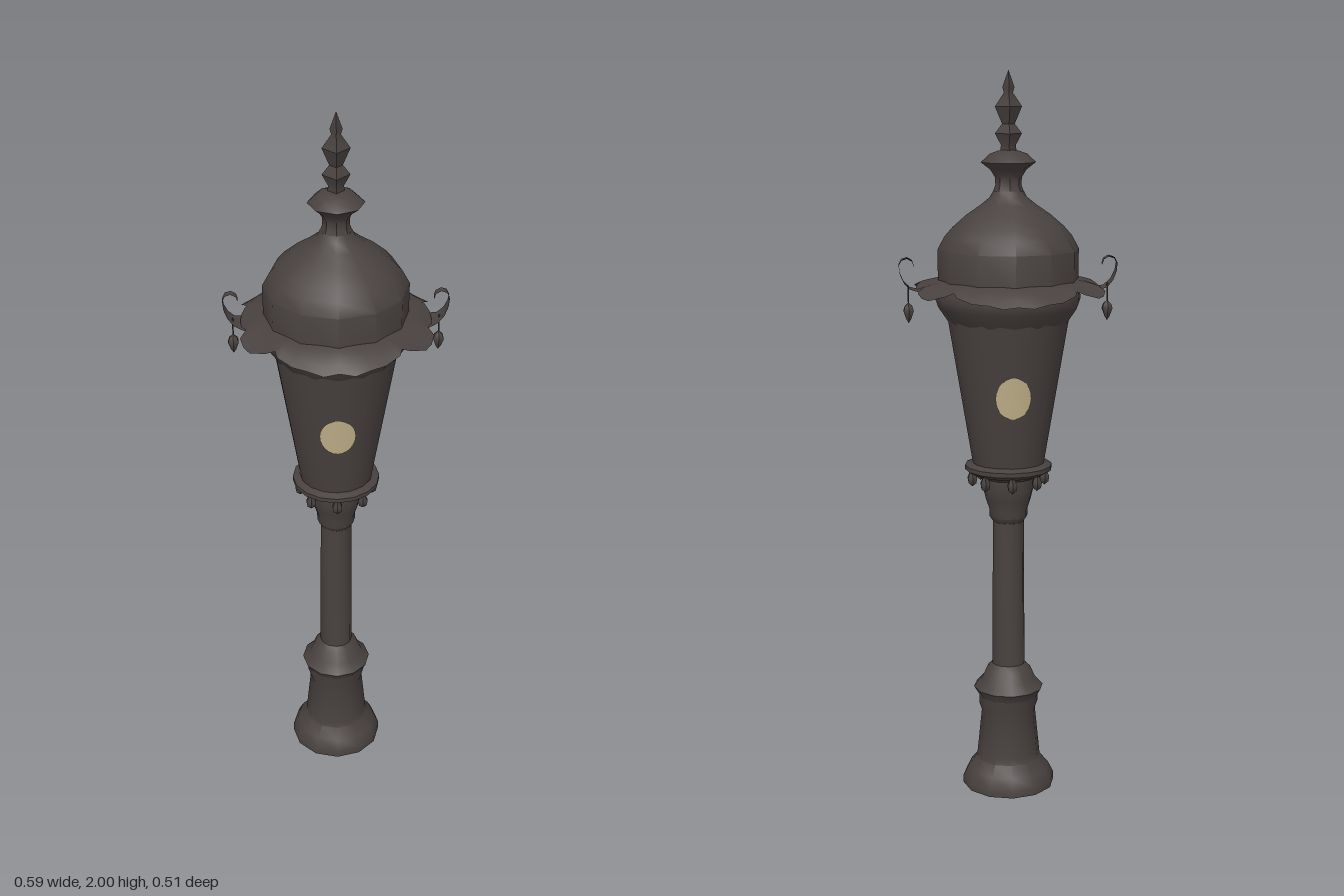
import * as THREE from 'three';
import { toCreasedNormals } from 'three/addons/utils/BufferGeometryUtils.js';

export function createModel() {
  const root = new THREE.Group();
  const iron = new THREE.MeshStandardMaterial({ color: 0x48413f });
  iron.name = 'dark iron';
  const ironLeaf = new THREE.MeshStandardMaterial({ color: 0x48413f, side: THREE.DoubleSide });
  ironLeaf.name = 'dark iron sheet';
  const glow = new THREE.MeshStandardMaterial({ color: 0xc4b48c });
  glow.name = 'pale glass';

  const add = (name, geometry, material = iron, parent = root) => {
    const mesh = new THREE.Mesh(geometry, material);
    mesh.name = name;
    parent.add(mesh);
    return mesh;
  };
  // Turned part from [radius, height] pairs, listed bottom to top
  const turned = (profile, sides) => toCreasedNormals(
    new THREE.LatheGeometry(profile.map(([r, y]) => new THREE.Vector2(r, y)), sides), 0.7);

  // Post
  add('base', turned([[0, 0], [0.13, 0], [0.13, 0.02], [0.115, 0.05], [0.09, 0.08], [0.088, 0.1],
    [0.076, 0.22], [0.083, 0.24], [0.083, 0.265], [0.098, 0.29], [0.075, 0.315], [0.062, 0.345],
    [0.046, 0.36]], 12));
  add('pole', turned([[0.046, 0.35], [0.043, 0.79]], 12));
  add('capital', turned([[0.043, 0.775], [0.053, 0.79], [0.053, 0.81], [0.063, 0.84], [0.07, 0.87],
    [0.07, 0.9], [0.09, 0.915]], 12));
  add('lanternPlate', turned([[0, 0.913], [0.1, 0.913], [0.12, 0.925], [0.12, 0.937], [0.1, 0.945]], 16));

  // Small knobs hanging under the plate
  for (let i = 0; i < 8; i++) {
    const a = i * Math.PI / 4;
    const knob = add('plateKnob', turned([[0, -0.025], [0.012, -0.015], [0.015, 0], [0.008, 0.015], [0.008, 0.03]], 6));
    knob.position.set(0.1 * Math.cos(a), 0.9, 0.1 * Math.sin(a));
  }

  // Lantern body and roof
  add('lanternBody', turned([[0.098, 0.94], [0.165, 1.345]], 24));
  add('lanternRim', turned([[0.163, 1.335], [0.19, 1.375], [0.197, 1.395], [0.195, 1.415], [0.18, 1.45]], 16));
  add('dome', turned([[0.19, 1.42], [0.191, 1.53], [0.172, 1.565], [0.15, 1.59], [0.113, 1.622],
    [0.075, 1.648], [0.05, 1.668], [0.041, 1.685]], 12));
  add('neck', turned([[0.042, 1.68], [0.035, 1.7], [0.036, 1.72], [0.048, 1.74], [0.074, 1.76],
    [0.05, 1.782], [0.028, 1.79], [0, 1.795]], 8));
  add('finial', turned([[0.022, 1.785], [0.02, 1.805], [0.036, 1.835], [0.017, 1.86], [0.036, 1.905],
    [0.012, 1.94], [0.016, 1.955], [0, 2]], 4));

  // Scalloped brim: [angle in degrees from the side, outer radius, outer height] over one quarter
  const edge = [[0, 0.25, 1.425], [8, 0.25, 1.428], [16, 0.244, 1.437], [20, 0.266, 1.425], [27, 0.27, 1.415],
    [33, 0.268, 1.412], [43, 0.252, 1.425], [48, 0.24, 1.435], [51.5, 0.249, 1.425], [62, 0.251, 1.412],
    [71.5, 0.253, 1.41], [81, 0.258, 1.402], [90, 0.246, 1.405]];
  const mirrored = edge.slice(0, -1).reverse().map(([a, r, y]) => [180 - a, r, y]);
  const half = [...edge, ...mirrored];
  const loop = [...half, ...half.slice(1).map(([a, r, y]) => [a + 180, r, y])];
  const rows = 4, positions = [], indices = [];
  loop.forEach(([deg, r, y], i) => {
    const a = deg * Math.PI / 180;
    for (let j = 0; j <= rows; j++) {
      const t = j / rows, radius = 0.183 + (r - 0.183) * t;
      const height = 1.45 + (y - 1.45) * (0.4 * t + 0.6 * t * t);
      positions.push(radius * Math.cos(a), height, radius * Math.sin(a));
      if (i && j) {
        const d = i * (rows + 1) + j, b = d - rows - 1;
        indices.push(b - 1, d - 1, b, b, d - 1, d);
      }
    }
  });
  const brim = new THREE.BufferGeometry();
  brim.setAttribute('position', new THREE.Float32BufferAttribute(positions, 3));
  brim.setIndex(indices.reverse());
  brim.computeVertexNormals();
  add('brim', brim, ironLeaf);

  // Curled leaf: ribbon along [x, y, half width]
  const curl = [[0.19, 1.443, 0.06], [0.215, 1.427, 0.055], [0.24, 1.42, 0.042], [0.265, 1.427, 0.03],
    [0.282, 1.445, 0.024], [0.292, 1.468, 0.018], [0.295, 1.49, 0.014], [0.288, 1.505, 0.012],
    [0.273, 1.51, 0.011], [0.259, 1.502, 0.011], [0.255, 1.488, 0.01]];
  const leaf = new THREE.PlaneGeometry(1, 1, 2, curl.length - 1);
  const lp = leaf.attributes.position;
  curl.forEach(([x, y, w], i) => {
    for (let k = 0; k < 3; k++) lp.setXYZ(i * 3 + k, x, y - (k === 1 ? 0.004 : 0), (k - 1) * w);
  });
  leaf.computeVertexNormals();

  // Leaf and pendant on each side
  for (const turn of [0, Math.PI]) {
    const side = new THREE.Group();
    side.name = 'sideOrnament';
    side.rotation.y = turn;
    root.add(side);
    add('curledLeaf', leaf, ironLeaf, side);
    add('pendantWire', new THREE.CylinderGeometry(0.002, 0.002, 0.06, 5), iron, side).position.set(0.27, 1.405, 0);
    add('pendantBead', turned([[0, 1.333], [0.008, 1.345], [0.016, 1.366], [0.012, 1.378], [0.004, 1.385],
      [0, 1.39]], 6), iron, side).position.x = 0.27;
  }

  // Oval windows following the taper of the body
  const pane = new THREE.RingGeometry(0, 1, 24, 3);
  const pp = pane.attributes.position;
  for (let i = 0; i < pp.count; i++) {
    const x = pp.getX(i) * 0.048, y = 1.145 + pp.getY(i) * 0.058;
    const r = 0.098 + (y - 0.94) * 0.067 / 0.405 + 0.003;
    pp.setXYZ(i, x, y, Math.sqrt(r * r - x * x));
  }
  pane.computeVertexNormals();
  add('frontWindow', pane, glow);
  add('backWindow', pane, glow).rotation.y = Math.PI;

  return root;
}
